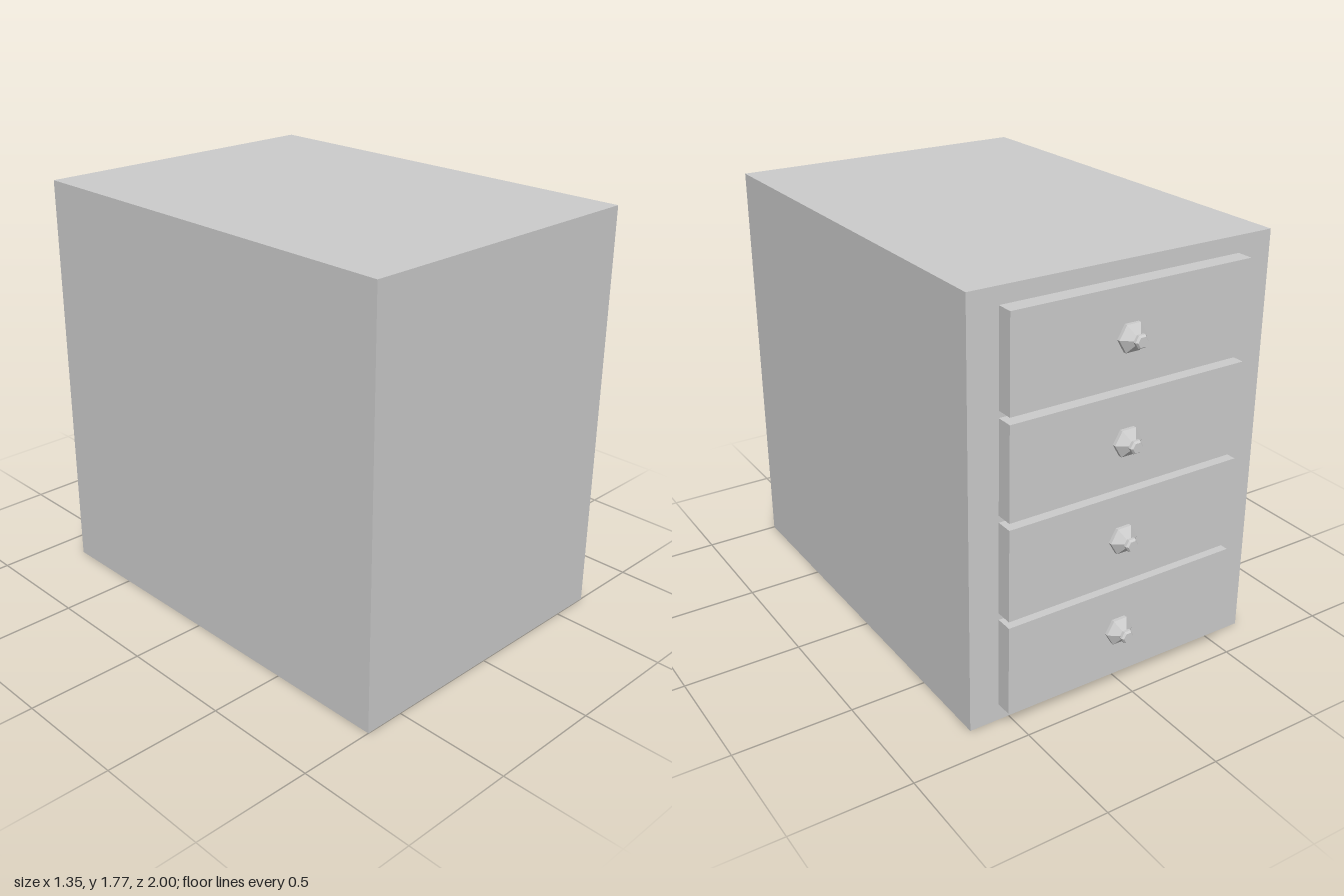
import * as THREE from 'three';

const material = new THREE.MeshStandardMaterial({ color: 0xcccccc, flatShading: true });

// Box given by its minimum and maximum corners
function box(name, [x0, y0, z0], [x1, y1, z1]) {
  const geometry = new THREE.BoxGeometry(x1 - x0, y1 - y0, z1 - z0);
  const mesh = new THREE.Mesh(geometry, material);
  mesh.position.set((x0 + x1) / 2, (y0 + y1) / 2, (z0 + z1) / 2);
  mesh.name = name;
  return mesh;
}

// Six-sided knob, its axis pointing to -z, corners to the left and right
function knobGeometry() {
  const profile = [
    [0, 0], [0.062, 0], [0.062, 0.014], [0.021, 0.043],
    [0.021, 0.046], [0.029, 0.051], [0.029, 0.062], [0.022, 0.07], [0, 0.07],
  ].map(([r, h]) => new THREE.Vector2(r, h));
  return new THREE.LatheGeometry(profile, 6, Math.PI / 2).rotateX(-Math.PI / 2);
}

export function createModel() {
  const model = new THREE.Group();
  model.name = 'drawerCabinet';
  const backZ = -0.86, drawerZ = -0.93;

  model.add(box('cabinetBody', [-0.675, 0, backZ], [0.675, 1.775, 1]));

  // Four stacked drawers, each with a knob
  const knobShape = knobGeometry();
  for (let i = 0; i < 4; i++) {
    const drawer = new THREE.Group();
    drawer.name = `drawer${i + 1}`;
    const bottom = 0.072 + i * 0.4155;
    drawer.add(box('drawerFront', [-0.52, bottom, drawerZ], [0.546, bottom + 0.387, backZ]));

    const knob = new THREE.Mesh(knobShape, material);
    knob.name = 'knob';
    knob.position.set(0.033, 0.27 + i * 0.413, drawerZ);
    drawer.add(knob);
    model.add(drawer);
  }
  return model;
}
